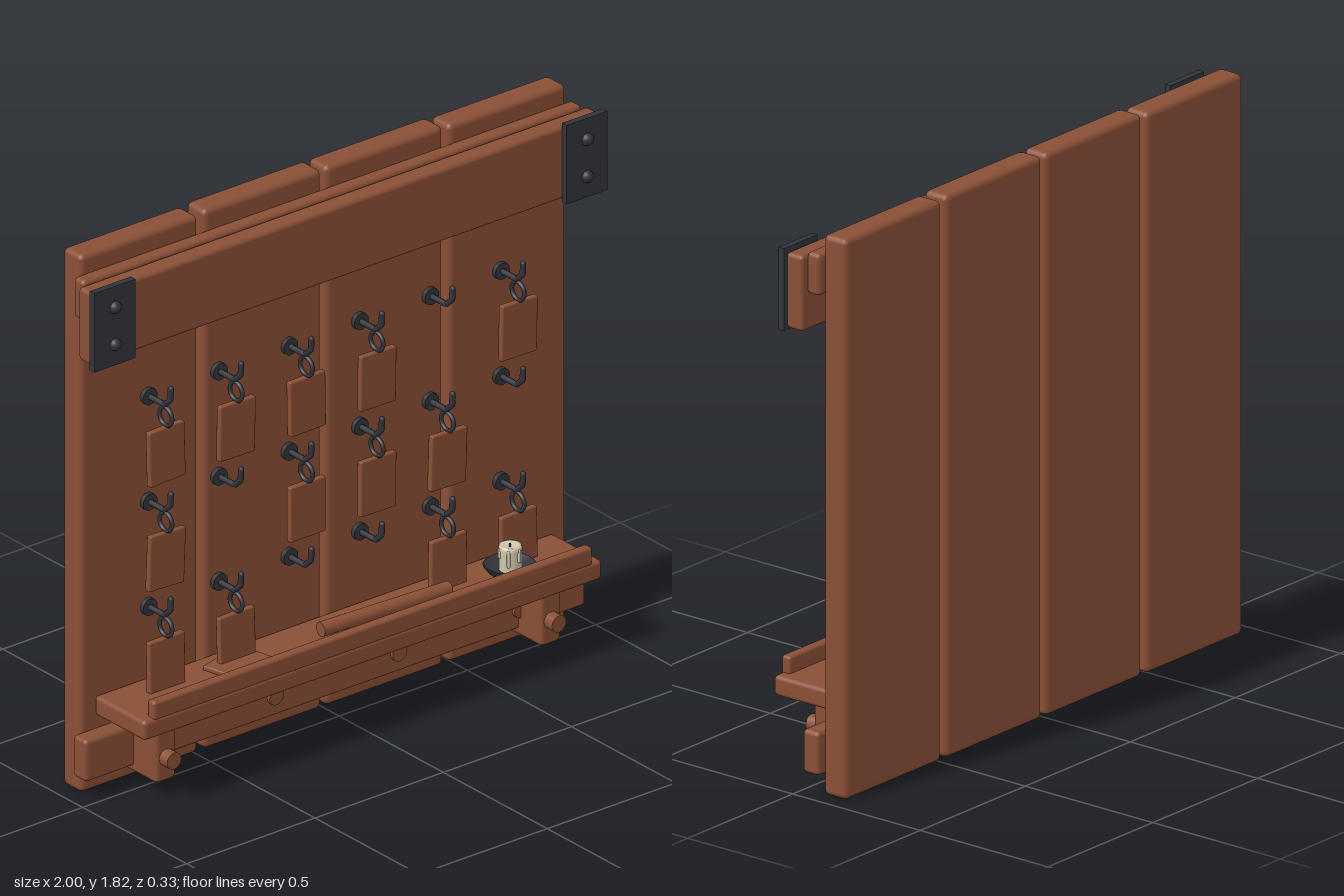
import * as THREE from 'three';
import { RoundedBoxGeometry } from 'three/addons/geometries/RoundedBoxGeometry.js';

export function createModel() {
  const root = new THREE.Group();
  root.name = 'keyRack';
  const mat = (name, color) => {
    const m = new THREE.MeshStandardMaterial({ color });
    m.name = name;
    return m;
  };
  const wood = mat('wood', 0x8a4f36);
  const iron = mat('iron', 0x33343b);
  const wax = mat('wax', 0xcfc6ac);

  const add = (name, geo, material, x, y, z, parent = root) => {
    const m = new THREE.Mesh(geo, material);
    m.name = name;
    m.position.set(x, y, z);
    parent.add(m);
    return m;
  };
  // Rounded block given by its extents
  const block = (name, x0, x1, y0, y1, z0, z1, material = wood, r = 0.014) =>
    add(name, new RoundedBoxGeometry(x1 - x0, y1 - y0, z1 - z0, 2, r), material,
      (x0 + x1) / 2, (y0 + y1) / 2, (z0 + z1) / 2);
  // Round peg pointing forwards
  const peg = (name, r, x, y, z0, z1, material = wood, parent = root) => {
    const m = add(name, new THREE.CylinderGeometry(r, r, z1 - z0, 16), material, x, y, (z0 + z1) / 2, parent);
    m.rotation.x = Math.PI / 2;
    return m;
  };

  // Back planks
  [-0.717, -0.236, 0.239, 0.718].forEach((x, i) => {
    const top = i === 1 || i === 2 ? 1.818 : 1.812;
    block('backPlank', x - 0.229, x + 0.229, 0.003, top, -0.165, -0.075, wood, 0.018);
  });

  // Upper rail, beam and iron end plates
  block('upperRail', -0.972, 0.972, 1.617, 1.752, -0.08, -0.03);
  block('upperBeam', -0.993, 0.993, 1.497, 1.742, -0.032, 0.034);
  for (const s of [-1, 1]) {
    add('endPlate', new THREE.BoxGeometry(0.16, 0.266, 0.022), iron, s * 0.92, 1.622, 0.045);
    for (const y of [1.685, 1.56]) {
      const bolt = add('bolt', new THREE.SphereGeometry(0.02, 14, 10), iron, s * 0.92, y, 0.058);
      bolt.scale.z = 0.95;
    }
  }

  // Lower rail with wooden pegs
  block('lowerRail', -0.975, 0.975, 0.07, 0.21, -0.08, -0.016);
  for (const x of [-0.715, -0.24, 0.24, 0.715]) peg('railPeg', 0.028, x, 0.14, -0.03, -0.004);

  // Shelf, front lip and brackets
  block('shelf', -0.893, 0.893, 0.252, 0.318, -0.078, 0.165);
  block('shelfLip', -0.855, 0.855, 0.31, 0.372, 0.13, 0.165, wood, 0.01);
  for (const s of [-1, 1]) {
    block('bracket', s * 0.75 - 0.039, s * 0.75 + 0.039, 0.05, 0.26, -0.078, 0.094);
    peg('bracketPeg', 0.028, s * 0.75, 0.132, 0.085, 0.132);
  }

  // Hooks, some carrying a ring and a wooden tag
  const hookPath = new THREE.CurvePath();
  const pts = [[0, -0.075], [0, 0.008], [0.026, 0.036], [0.064, 0.038]]
    .map(([y, z]) => new THREE.Vector3(0, y, z));
  for (let i = 0; i < 3; i++) hookPath.add(new THREE.LineCurve3(pts[i], pts[i + 1]));
  const hookGeo = new THREE.TubeGeometry(hookPath, 36, 0.0095, 8);
  const tipGeo = new THREE.SphereGeometry(0.0095, 8, 6);
  const ringGeo = new THREE.TorusGeometry(0.03, 0.007, 8, 24);
  const tagGeo = new RoundedBoxGeometry(0.138, 0.185, 0.022, 1, 0.005);
  const columns = [-0.687, -0.413, -0.139, 0.136, 0.411, 0.686];
  const rows = [1.267, 0.912, 0.558];
  const tilt = [
    [0.03, -0.02, 0.015, -0.015, null, -0.02],
    [-0.04, null, 0.005, -0.01, -0.035, null],
    [0.015, 0.03, null, null, -0.01, 0.02],
  ];
  rows.forEach((y, r) => columns.forEach((x, c) => {
    const hook = new THREE.Group();
    hook.name = 'hook';
    hook.position.set(x, y, 0);
    root.add(hook);
    peg('hookFlange', 0.028, 0, 0, -0.076, -0.06, iron, hook);
    add('hookStem', hookGeo, iron, 0, 0, 0, hook);
    add('hookTip', tipGeo, iron, 0, 0.064, 0.038, hook);
    if (tilt[r][c] === null) return;
    add('ring', ringGeo, iron, 0, -0.037, 0.014, hook).rotation.y = Math.PI / 2;
    add('tag', tagGeo, wood, 0, -0.162, 0.013, hook).rotation.z = tilt[r][c];
  }));

  // Loose tag and stick lying on the shelf
  const loose = add('looseTag', new RoundedBoxGeometry(0.18, 0.016, 0.138, 1, 0.004), wood, -0.425, 0.326, 0.04);
  loose.rotation.y = 0.25;
  const stick = add('stick', new THREE.CylinderGeometry(0.024, 0.024, 0.48, 16), wood, 0.13, 0.346, 0.058);
  stick.rotation.set(0, -0.05, Math.PI / 2);

  // Candle on an iron saucer
  const saucer = [[0, 0.316], [0.06, 0.316], [0.082, 0.343], [0.077, 0.347], [0.056, 0.328], [0, 0.328]]
    .map(([x, y]) => new THREE.Vector2(x, y));
  add('saucer', new THREE.LatheGeometry(saucer, 24), iron, 0.622, 0, 0.052);
  const candle = [[0.034, 0.324], [0.034, 0.39], [0.037, 0.398], [0.034, 0.41], [0.026, 0.409], [0, 0.402]]
    .map(([x, y]) => new THREE.Vector2(x, y));
  add('candle', new THREE.LatheGeometry(candle, 18), wax, 0.622, 0, 0.055);
  for (let i = 0; i < 6; i++) {
    const a = i * Math.PI / 3 + 0.3;
    const len = 0.022 + 0.012 * (i % 3);
    add('waxDrip', new THREE.CapsuleGeometry(0.006, len, 3, 8), wax,
      0.622 + Math.cos(a) * 0.034, 0.398 - len / 2, 0.055 + Math.sin(a) * 0.034);
  }
  add('wick', new THREE.CylinderGeometry(0.003, 0.003, 0.014, 6), iron, 0.622, 0.408, 0.055);

  return root;
}
